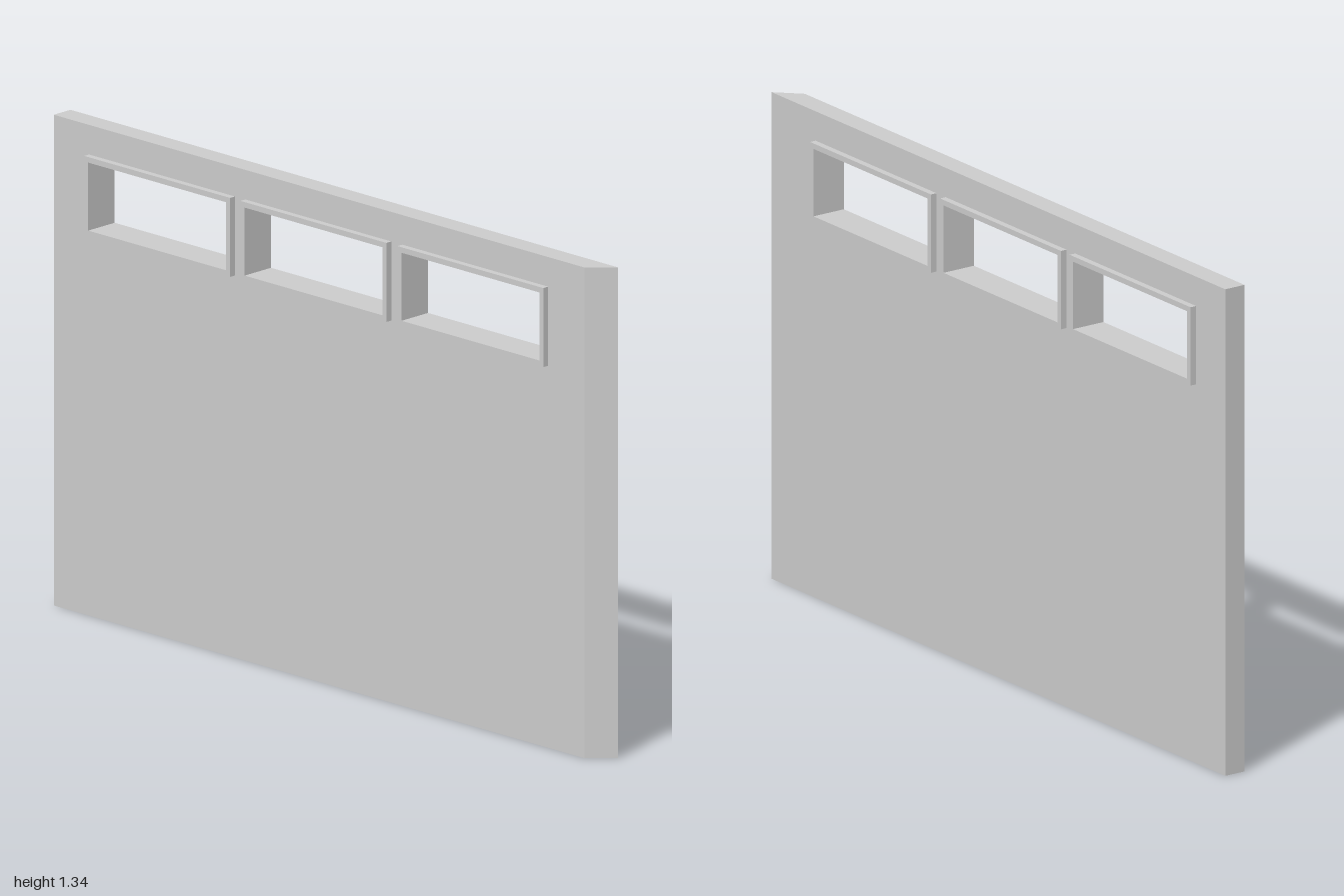
import * as THREE from 'three';

const WIDTH = 2, HEIGHT = 1.335, DEPTH = 0.062, MITRE = 0.062;
const WINDOW = { w: 0.533, h: 0.215, y: 1.147, border: 0.015, depth: 0.098 };
const WINDOW_X = [-0.605, -0.034, 0.539];

// Traces a centred rectangle on a Shape or Path
function rect(path, cx, cy, w, h) {
  path.moveTo(cx - w / 2, cy - h / 2);
  path.lineTo(cx + w / 2, cy - h / 2);
  path.lineTo(cx + w / 2, cy + h / 2);
  path.lineTo(cx - w / 2, cy + h / 2);
  path.closePath();
  return path;
}

// Extrudes a shape symmetrically about z = 0
function slab(shape, depth) {
  const geometry = new THREE.ExtrudeGeometry(shape, { depth, bevelEnabled: false });
  return geometry.translate(0, 0, -depth / 2);
}

export function createModel() {
  const group = new THREE.Group();
  group.name = 'wallPanel';
  const material = new THREE.MeshStandardMaterial({ color: 0xcccccc, flatShading: true });

  // Wall with three window openings
  const wallShape = rect(new THREE.Shape(), 0, HEIGHT / 2, WIDTH, HEIGHT);
  for (const x of WINDOW_X) {
    wallShape.holes.push(rect(new THREE.Path(), x, WINDOW.y, WINDOW.w, WINDOW.h));
  }
  const wallGeometry = slab(wallShape, DEPTH);

  // Mitred left end: pull its front edge inwards
  const pos = wallGeometry.attributes.position;
  for (let i = 0; i < pos.count; i++) {
    if (pos.getX(i) > 0.99 && pos.getZ(i) > 0) pos.setX(i, WIDTH / 2 - MITRE);
  }
  wallGeometry.computeVertexNormals();
  const wall = new THREE.Mesh(wallGeometry, material);
  wall.name = 'wall';
  group.add(wall);

  // Window frames lining the openings and standing proud on both faces
  const frameShape = rect(new THREE.Shape(), 0, 0, WINDOW.w, WINDOW.h);
  frameShape.holes.push(rect(new THREE.Path(), 0, 0,
    WINDOW.w - 2 * WINDOW.border, WINDOW.h - 2 * WINDOW.border));
  const frameGeometry = slab(frameShape, WINDOW.depth);
  WINDOW_X.forEach((x, i) => {
    const frame = new THREE.Mesh(frameGeometry, material);
    frame.name = `windowFrame${i + 1}`;
    frame.position.set(x, WINDOW.y, 0);
    group.add(frame);
  });

  return group;
}
